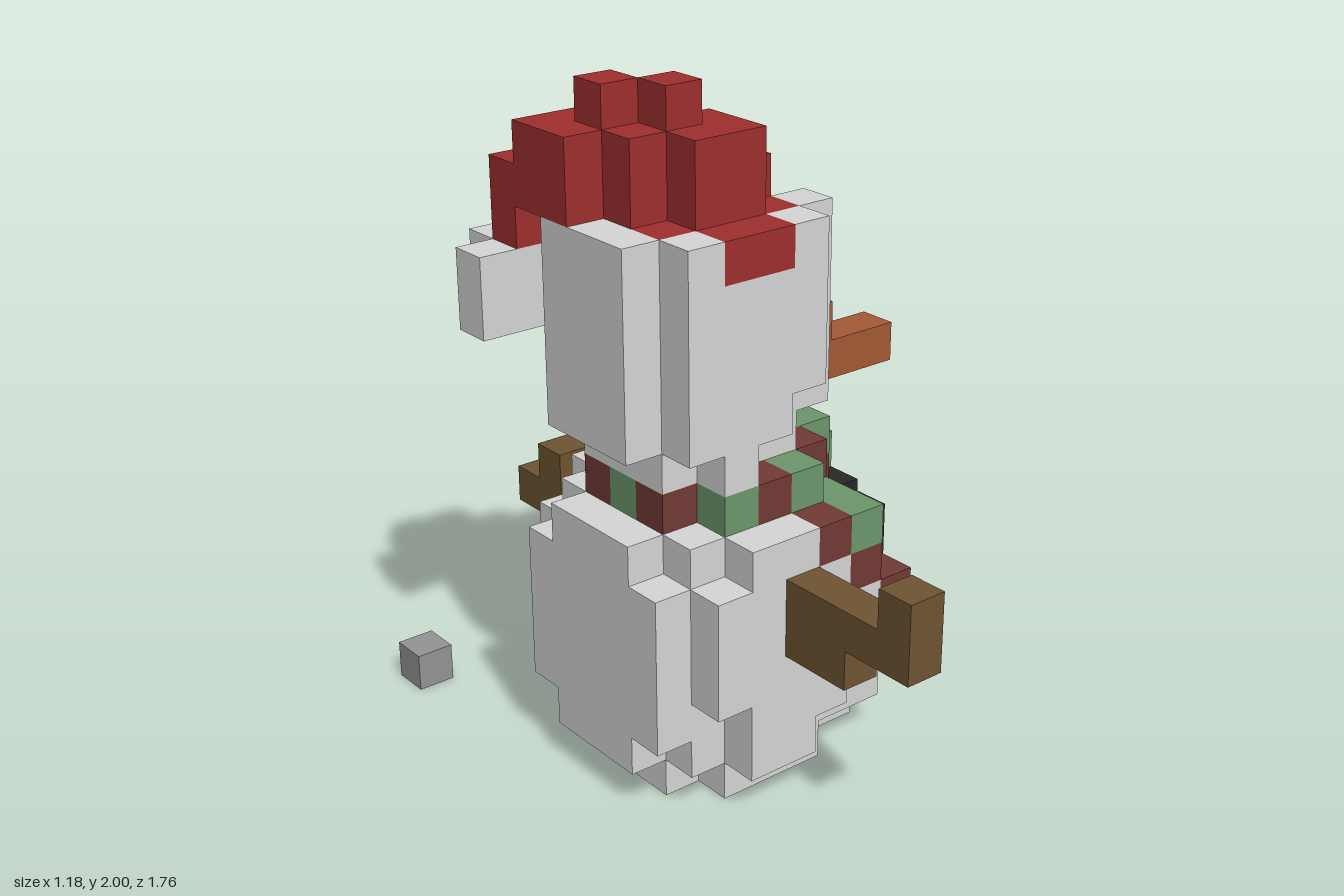
import * as THREE from 'three';
import { mergeGeometries } from 'three/addons/utils/BufferGeometryUtils.js';

const S = 2 / 17; // edge of one cube
const paint = (name, color) => Object.assign(new THREE.MeshStandardMaterial({ color }), { name });

export function createModel() {
  const mats = {
    snow: paint('snow', 0xd6d6d6),
    hat: paint('hat red', 0x9f2f2f),
    carrot: paint('carrot orange', 0xa55a36),
    wood: paint('wood brown', 0x6f5432),
    coal: paint('coal black', 0x282828),
    green: paint('scarf green', 0x6d976d),
    maroon: paint('scarf maroon', 0x733a36),
    stone: paint('stone grey', 0x949494),
  };
  const cells = new Map(); // "x,y,z" -> { part, mat }

  // Fill a block of cubes, ends included
  const fill = (part, mat, y0, y1, z0, z1, x0, x1) => {
    for (let y = y0; y <= y1; y++)
      for (let z = z0; z <= z1; z++)
        for (let x = x0; x <= x1; x++) cells.set(`${x},${y},${z}`, { part, mat, x, y, z });
  };
  // The same block on both sides of z = 0
  const both = (part, mat, y0, y1, z, x0, x1) => {
    fill(part, mat, y0, y1, z, z, x0, x1);
    fill(part, mat, y0, y1, -z, -z, x0, x1);
  };
  const dots = (part, mat, list) => list.forEach(([x, y, z]) => fill(part, mat, y, y, z, z, x, x));

  // Body: rounded ball in layers
  fill('body', 'snow', 0, 0, -1, -1, -3, 1);
  fill('body', 'snow', 0, 0, 0, 1, -3, 2);
  both('body', 'snow', 0, 0, 2, -2, 0);
  fill('body', 'snow', 1, 4, -1, 0, -4, 3);
  fill('body', 'snow', 1, 3, 1, 1, -4, 3);
  fill('body', 'snow', 4, 4, 1, 1, -4, 2);
  both('body', 'snow', 1, 1, 2, -3, 2);
  both('body', 'snow', 1, 1, 3, -2, -1);
  both('body', 'snow', 2, 5, 2, -4, 2);
  fill('body', 'snow', 2, 2, 3, 3, -2, 0);
  fill('body', 'snow', 3, 4, 3, 3, -3, 1);
  fill('body', 'snow', 5, 5, 3, 3, -3, 0);
  fill('body', 'snow', 2, 2, -3, -3, -2, 1);
  fill('body', 'snow', 3, 4, -3, -3, -3, 2);
  fill('body', 'snow', 5, 5, -3, -3, -3, 1);
  fill('body', 'snow', 5, 5, -1, 1, -4, 2);
  fill('body', 'snow', 6, 6, -1, 1, -4, 1);
  both('body', 'snow', 6, 6, 2, -3, 1);
  both('body', 'snow', 6, 6, 3, -2, -1);

  // Neck and head
  fill('neck', 'snow', 7, 8, -1, 1, -3, 0);
  both('neck', 'snow', 8, 8, 2, -2, -2);
  fill('head', 'snow', 9, 12, -1, 1, -4, 1);
  both('head', 'snow', 9, 9, 2, -3, -1);
  fill('head', 'snow', 10, 13, 2, 2, -3, 0);
  fill('head', 'snow', 10, 11, -2, -2, -3, 1);
  fill('head', 'snow', 12, 13, -2, -2, -3, 0);
  fill('head', 'snow', 13, 13, -1, 1, -4, 0);
  dots('head', 'snow', [[1, 13, 1]]);

  // Pompom hanging at the back of the cap
  fill('pompom', 'snow', 11, 12, -3, -3, -5, -4);
  fill('pompom', 'snow', 11, 12, -4, -4, -4, -4);

  // Cap: brim, two tiers and the stepped tip
  fill('cap', 'hat', 13, 14, -3, -3, -4, -4);
  fill('cap', 'hat', 13, 13, 2, 2, -2, -1);
  fill('cap', 'hat', 13, 13, -1, 1, -3, 0);
  fill('cap', 'hat', 14, 15, -2, -2, -4, -3);
  fill('cap', 'hat', 14, 14, -1, -1, -4, -1);
  fill('cap', 'hat', 14, 14, 0, 0, -3, 0);
  fill('cap', 'hat', 15, 15, -1, -1, -4, -2);
  fill('cap', 'hat', 15, 15, 0, 0, -3, -1);
  fill('cap', 'hat', 14, 15, 1, 1, -2, -1);
  dots('cap', 'hat', [[-3, 16, -1], [-2, 16, 0]]);

  // Carrot nose and coal buttons
  fill('nose', 'carrot', 9, 9, 0, 0, 2, 4);
  fill('nose', 'carrot', 10, 10, 0, 0, 2, 2);
  fill('buttons', 'coal', 2, 4, 0, 0, 4, 4);
  fill('buttons', 'coal', 5, 5, 0, 0, 3, 3);

  // Stick arms
  fill('leftArm', 'wood', 4, 4, 4, 5, -1, -1);
  fill('leftArm', 'wood', 5, 5, 4, 7, -1, -1);
  fill('leftArm', 'wood', 6, 6, 7, 7, -1, -1);
  fill('rightArm', 'wood', 4, 4, -7, -4, -1, -1);
  dots('rightArm', 'wood', [[-1, 5, -4], [-1, 5, -6]]);

  // Checked scarf: ring round the neck, then the two hanging tails
  for (const z of [2, -2]) {
    dots('scarfRing', 'green', [[-2, 7, z], [0, 7, z]]);
    dots('scarfRing', 'maroon', [[-1, 7, z], [1, 7, z / 2], [-3, 7, z / 2]]);
  }
  dots('scarfRing', 'green', [[-3, 7, 0], [1, 7, 0], [2, 7, 0]]);
  dots('scarfTails', 'green', [[1, 6, 2], [1, 6, 3], [2, 3, 3], [2, 6, -1], [3, 6, -1], [4, 4, -2], [4, 2, -1]]);
  dots('scarfTails', 'maroon', [[0, 6, 3], [1, 5, 3], [2, 4, 3], [2, 6, 0], [3, 5, -1], [3, 5, -2], [4, 3, -2], [4, 3, -1]]);

  // Loose pebble
  dots('pebble', 'stone', [[-5, 0, -7]]);

  // Draw only the open faces of each cube
  const sides = [[1, 0, 0], [-1, 0, 0], [0, 1, 0], [0, -1, 0], [0, 0, 1], [0, 0, -1]].map(d => {
    const n = new THREE.Vector3(...d);
    const q = new THREE.Quaternion().setFromUnitVectors(new THREE.Vector3(0, 0, 1), n);
    const face = new THREE.PlaneGeometry(S, S).applyQuaternion(q);
    return { d, face: face.translate(n.x * S / 2, n.y * S / 2, n.z * S / 2) };
  });
  const faces = {};
  for (const { part, mat, x, y, z } of cells.values())
    for (const { d, face } of sides) {
      if (cells.has(`${x + d[0]},${y + d[1]},${z + d[2]}`)) continue;
      const list = ((faces[part] ??= {})[mat] ??= []);
      list.push(face.clone().translate((x + 0.5) * S, (y + 0.5) * S, z * S));
    }

  const model = new THREE.Group();
  model.name = 'snowman';
  for (const [part, byMat] of Object.entries(faces)) {
    const group = new THREE.Group();
    group.name = part;
    for (const [mat, list] of Object.entries(byMat)) {
      const mesh = new THREE.Mesh(mergeGeometries(list), mats[mat]);
      mesh.name = `${part} ${mats[mat].name}`;
      group.add(mesh);
    }
    model.add(group);
  }
  return model;
}
